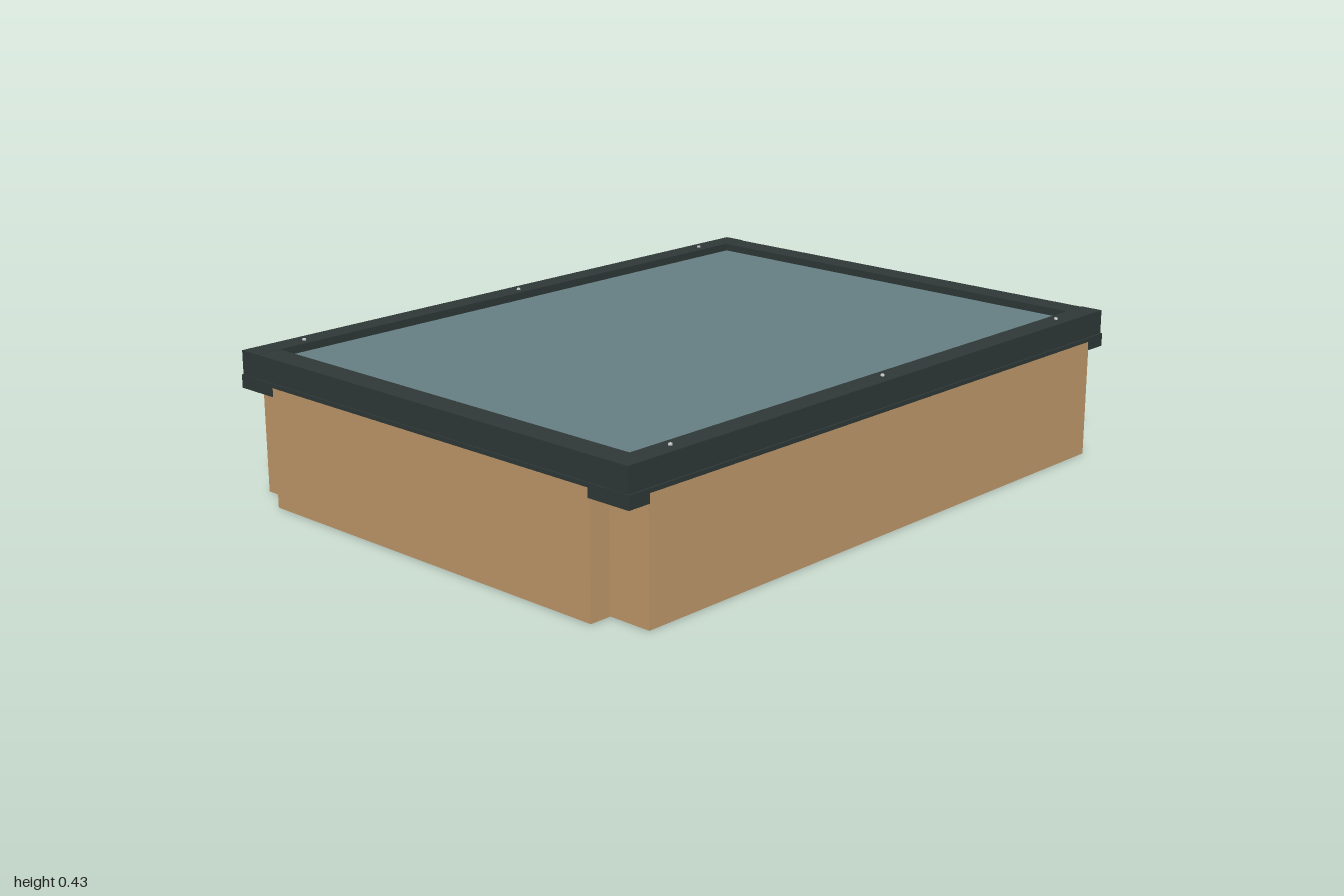
import * as THREE from 'three';

export function createModel() {
  const group = new THREE.Group();
  group.name = 'skylight';
  const mat = (name, color) => Object.assign(new THREE.MeshStandardMaterial({ color }), { name });
  const wood = mat('timber', 0xc19a6b);
  const liner = mat('liner white', 0xd9d5c7);
  const metal = mat('dark metal', 0x2f3838);
  const glass = mat('glass', 0x668083);
  const steel = mat('screw steel', 0xc9cdcd);

  const add = (name, geometry, material, x = 0, y = 0, z = 0) => {
    const mesh = new THREE.Mesh(geometry, material);
    mesh.name = name;
    mesh.position.set(x, y, z);
    group.add(mesh);
    return mesh;
  };
  // box given by its extents along each axis
  const box = (name, material, [x0, x1], [y0, y1], [z0, z1]) =>
    add(name, new THREE.BoxGeometry(x1 - x0, y1 - y0, z1 - z0), material,
      (x0 + x1) / 2, (y0 + y1) / 2, (z0 + z1) / 2);
  const span = (side, a, b) => (side > 0 ? [a, b] : [-b, -a]);
  // flat rectangular ring, outer and inner half sizes
  const ring = (name, material, ox, oz, ix, iz, y0, y1) => {
    const rect = (Type, x, z) => {
      const p = new Type();
      p.moveTo(-x, -z); p.lineTo(x, -z); p.lineTo(x, z); p.lineTo(-x, z); p.closePath();
      return p;
    };
    const shape = rect(THREE.Shape, ox, oz);
    shape.holes.push(rect(THREE.Path, ix, iz));
    const g = new THREE.ExtrudeGeometry(shape, { depth: y1 - y0, bevelEnabled: false });
    g.rotateX(-Math.PI / 2);
    return add(name, g, material, 0, y0, 0);
  };

  // timber curb with open notches at the corners
  for (const s of [-1, 1]) {
    box('curbSide', wood, span(s, 0.615, 0.746), [0, 0.348], [-0.932, 0.932]);
    box('curbEnd', wood, [-0.615, 0.615], [0, 0.348], span(s, 0.87, 0.998));
  }

  // pale lining of the shaft, stopping short of the glass
  ring('shaftLiner', liner, 0.615, 0.87, 0.603, 0.857, 0.001, 0.28);

  // metal base ring and the corner blocks filling the notches
  ring('baseRing', metal, 0.748, 1, 0.615, 0.87, 0.346, 0.358);
  for (const sx of [-1, 1]) for (const sz of [-1, 1]) {
    box('cornerBlock', metal, span(sx, 0.612, 0.748), [0.32, 0.358], span(sz, 0.93, 1));
  }

  // glass pane
  box('glassPane', glass, [-0.677, 0.677], [0.357, 0.405], [-0.923, 0.923]);

  // top cover rails and their screws
  for (const s of [-1, 1]) {
    box('sideRail', metal, span(s, 0.675, 0.743), [0.358, 0.428], [-0.998, 0.998]);
    box('endRail', metal, [-0.675, 0.675], [0.358, 0.427], span(s, 0.92, 0.996));
    for (const z of [-0.815, 0, 0.815]) {
      add('screw', new THREE.CylinderGeometry(0.005, 0.006, 0.005, 10), steel, s * 0.705, 0.4305, z);
    }
  }
  return group;
}
